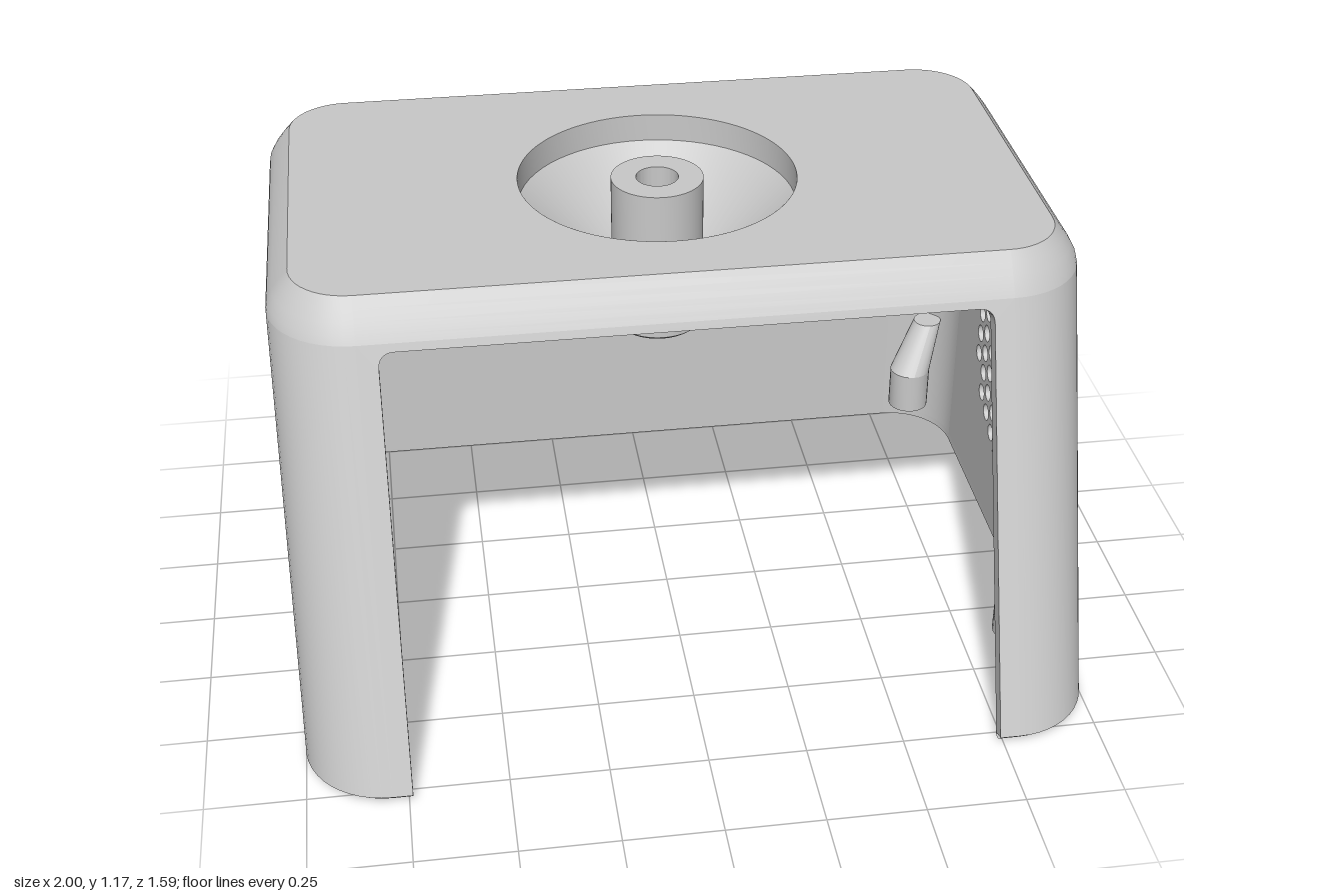
import * as THREE from 'three';
import { toCreasedNormals } from 'three/addons/utils/BufferGeometryUtils.js';

const R = 0.21, T = 0.04, BACK = -0.79;      // corner radius, wall thickness, back plane
const LOW = 0.02, HIGH = 1.08, TOP = 1.175;  // straight wall range and roof height
const SLOPE = 0.362, TILT = Math.atan(SLOPE);
const frontZ = y => 0.795 - SLOPE * (Math.min(Math.max(y, LOW), 1.11) - LOW);

// Quarter arc of one vertical corner, k = 0 front +x, 1 back +x, 2 back -x, 3 front -x
function corner(k, inset, y) {
  const cx = k < 2 ? 1 - R : R - 1;
  const cz = k === 0 || k === 3 ? frontZ(y) - R : BACK + R;
  const pts = [];
  for (let i = 0; i <= 12; i++) {
    const a = Math.PI / 2 * (1 - k - i / 12);
    pts.push([cx + (R - inset) * Math.cos(a), y, cz + (R - inset) * Math.sin(a)]);
  }
  return pts;
}
const ring = (inset, y) => [0, 1, 2, 3].flatMap(k => corner(k, inset, y));

// Surface through rows of points
function loft(rows, closed = false) {
  const n = rows[0].length, idx = [];
  for (let r = 0; r < rows.length - 1; r++) {
    for (let i = 0; i < (closed ? n : n - 1); i++) {
      const a = r * n + i, b = r * n + (i + 1) % n;
      idx.push(a, b, a + n, b, b + n, a + n);
    }
  }
  const g = new THREE.BufferGeometry();
  g.setAttribute('position', new THREE.Float32BufferAttribute(rows.flat(2), 3));
  g.setIndex(idx);
  return toCreasedNormals(g, 0.5);
}

const polygon = pts => new THREE.Shape(pts.map(p => new THREE.Vector2(p[0], p[1])));
const disc = (x, y, r) => new THREE.Shape().absarc(x, y, r, 0, Math.PI * 2, false);
const extrude = (shape, depth, curveSegments = 12) =>
  new THREE.ExtrudeGeometry(shape, { depth, bevelEnabled: false, curveSegments });

export function createModel() {
  const model = new THREE.Group();
  const grey = new THREE.MeshStandardMaterial({ color: 0xc8c8c8, side: THREE.DoubleSide });
  grey.name = 'light grey plastic';
  const add = (name, geometry) => {
    const mesh = new THREE.Mesh(geometry, grey);
    mesh.name = name;
    model.add(mesh);
    return mesh;
  };

  // Rounded vertical corners, outer and inner skins
  for (let k = 0; k < 4; k++) {
    add('cornerOuter', loft([corner(k, 0, LOW), corner(k, 0, HIGH)]));
    add('cornerInner', loft([corner(k, T, HIGH), corner(k, T, LOW)]));
  }

  // Bevelled foot, open at the front
  const foot = (inset, y) => {
    const z = frontZ(y) - inset;
    return [[0.74, y, z], ...ring(inset, y), [-0.74, y, z]];
  };
  add('footBevel', loft([foot(T, LOW), foot(T, 0), foot(0.02, 0), foot(0, LOW)]));

  // Rounded roof edge and its inside
  const edge = [[0, HIGH], [0.004, 1.1], [0.018, 1.125], [0.038, 1.151], [0.06, TOP]];
  add('roofEdge', loft(edge.map(([i, y]) => ring(i, y)), true));
  add('roofEdgeInner', loft([ring(0.07, TOP - T), ring(T, HIGH)], true));

  // Roof with round opening for the funnel
  const funnelZ = -0.177;
  const roof = polygon(ring(0.06, TOP).map(p => [p[0], -p[2]]));
  roof.holes.push(disc(0, -funnelZ, 0.36));
  add('roof', extrude(roof, T, 48).rotateX(-Math.PI / 2).translate(0, TOP - T, 0));

  // Sloping front frame around the large opening
  const v = y => (y - LOW) / Math.cos(TILT), h = v(1.06), e = 1 - R;
  const frame = new THREE.Shape();
  frame.moveTo(-e, 0).lineTo(-0.74, 0).lineTo(-0.74, h - 0.04)
    .quadraticCurveTo(-0.74, h, -0.7, h).lineTo(0.7, h)
    .quadraticCurveTo(0.74, h, 0.74, h - 0.04).lineTo(0.74, 0)
    .lineTo(e, 0).lineTo(e, v(HIGH)).lineTo(-e, v(HIGH));
  add('frontFrame', extrude(frame, T).translate(0, 0, -T).rotateX(-TILT).translate(0, LOW, frontZ(LOW)));

  // Back wall with port window and vent slots
  const back = polygon([[-e, LOW], [e, LOW], [e, HIGH], [-e, HIGH]]);
  const port = new THREE.Shape();
  port.moveTo(-0.735, 0.403).lineTo(-0.545, 0.403).lineTo(-0.535, 0.411).lineTo(-0.525, 0.403)
    .lineTo(-0.335, 0.403).quadraticCurveTo(-0.32, 0.403, -0.32, 0.418)
    .lineTo(-0.32, 0.555).quadraticCurveTo(-0.32, 0.57, -0.335, 0.57)
    .lineTo(-0.525, 0.57).lineTo(-0.535, 0.562).lineTo(-0.545, 0.57)
    .lineTo(-0.735, 0.57).quadraticCurveTo(-0.75, 0.57, -0.75, 0.555)
    .lineTo(-0.75, 0.418).quadraticCurveTo(-0.75, 0.403, -0.735, 0.403);
  back.holes.push(port);
  for (let i = -2; i <= 2; i++) {
    const x = i * 0.097, r = 0.023;
    back.holes.push(new THREE.Shape().absarc(x, 1.025, r, 0, Math.PI, false)
      .absarc(x, 0.865, r, Math.PI, Math.PI * 2, false));
  }
  add('backWall', extrude(back, T).translate(0, 0, BACK));

  // Side walls, each with a round grille set in a shallow groove
  const gx = 0.07, gy = 0.545, rOut = 0.4, rIn = 0.373;
  const side = polygon([
    [R - frontZ(LOW), LOW], [-BACK - R, LOW], [-BACK - R, HIGH], [R - frontZ(HIGH), HIGH]]);
  side.holes.push(disc(gx, gy, rOut));
  const groove = disc(gx, gy, rOut);
  groove.holes.push(disc(gx, gy, rIn));
  const grille = disc(gx, gy, rIn);
  for (let c = -5; c <= 5; c++) {
    for (let k = -5; k <= 5; k++) {
      const dx = c * 0.057, dy = (k + (c % 2 ? 0.5 : 0)) * 0.0655;
      if (Math.hypot(dx, dy) < 0.31) grille.holes.push(disc(gx + dx, gy + dy, 0.024));
    }
  }
  for (const s of [1, -1]) {
    const x = s > 0 ? 1 - T : -1;
    const place = (g, at) => g.rotateY(Math.PI / 2).translate(at, 0, 0);
    add('sideWall', place(extrude(side, T, 24), x));
    add('grilleGroove', place(extrude(groove, 0.025, 24), s > 0 ? x : x + 0.015));
    add('speakerGrille', place(extrude(grille, T, 24), x));
  }

  // Funnel with hollow centre post and grooved neck
  const profile = [[0.36, TOP], [0.36, 1.1], [0.12, 0.87], [0.12, 1.17], [0.055, 1.17],
    [0.055, 0.747], [0.108, 0.747], [0.12, 0.757], [0.12, 0.782], [0.11, 0.787], [0.11, 0.805],
    [0.12, 0.81], [0.12, 0.84], [0.3, 1.025], [0.4, 1.135]];
  const funnel = new THREE.LatheGeometry(profile.map(p => new THREE.Vector2(...p)), 64);
  add('funnel', toCreasedNormals(funnel, 0.4)).position.z = funnelZ;

  // Mounting plate and pegs beneath the roof
  const plate = polygon([[-0.52, -0.2], [0.52, -0.2], [0.52, 0.56], [-0.52, 0.56]]);
  plate.holes.push(disc(0, -funnelZ, 0.318));
  add('mountingPlate', extrude(plate, 0.018, 48).rotateX(-Math.PI / 2).translate(0, 1.025, 0));
  for (const x of [0.5, 0.67]) {
    add('peg', new THREE.CylinderGeometry(0.013, 0.013, 0.145, 12)).position.set(x, 1.063, -0.4);
  }

  // Screw bosses with supports leaning into the walls
  const bore = [[0.022, 0.12], [0.022, 0], [0.058, 0], [0.058, 0.12]];
  const bosses = [
    { x: 0.86, y: 0.1, z: 0.47, leanX: 0.06, leanZ: 0 },
    { x: 0.83, y: 0.13, z: -0.61, leanX: 0.06, leanZ: -0.06 },
  ];
  for (const s of [1, -1]) {
    for (const { x, y, z, leanX, leanZ } of bosses) {
      const boss = new THREE.LatheGeometry(bore.map(p => new THREE.Vector2(...p)), 24);
      add('screwBoss', toCreasedNormals(boss, 0.5)).position.set(s * x, y, z);
      const lean = new THREE.CylinderGeometry(0.04, 0.058, 0.13, 24);
      const p = lean.attributes.position;
      for (let i = 0; i < p.count; i++) {
        const t = p.getY(i) / 0.13 + 0.5;
        p.setX(i, p.getX(i) + s * leanX * t);
        p.setZ(i, p.getZ(i) + leanZ * t);
      }
      lean.computeVertexNormals();
      add('bossSupport', lean).position.set(s * x, y + 0.185, z);
    }
  }
  return model;
}
